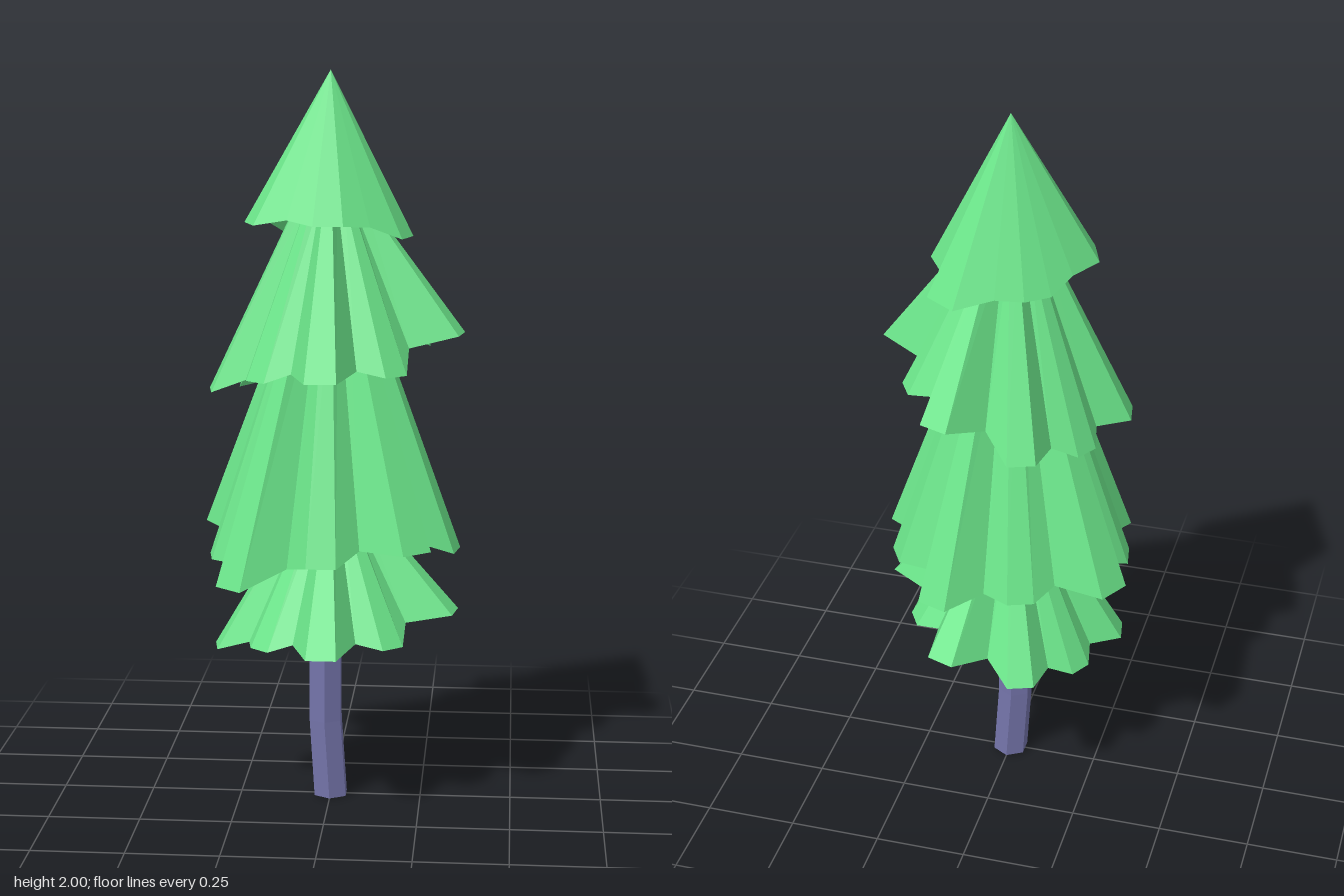
import * as THREE from 'three';

const green = new THREE.MeshStandardMaterial({ color: 0x6be58a, flatShading: true, side: THREE.DoubleSide });
const bark = new THREE.MeshStandardMaterial({ color: 0x7474aa, flatShading: true });

// Pleated open skirt: each lobe has two rim points, with one valley point between lobes.
// Lobe centres run from +x towards +z; radii and heights are given per lobe.
function skirt({ name, start, radii, heights, valley, topY, topScale }) {
  const n = radii.length, step = (Math.PI * 2) / n, half = step / 6;
  const rim = [];
  for (let k = 0; k < n; k++) {
    const a = THREE.MathUtils.degToRad(start) + k * step;
    const valleyY = (heights[k] + heights[(k + 1) % n]) / 2 + 0.015;
    rim.push([a - half, radii[k], heights[k]], [a + half, radii[k], heights[k]], [a + step / 2, valley, valleyY]);
  }
  const low = rim.map(([a, r, y]) => [r * Math.cos(a), y, r * Math.sin(a)]);
  const high = rim.map(([a, r]) => [r * topScale * Math.cos(a), topY, r * topScale * Math.sin(a)]);
  const pos = [];
  low.forEach((b0, i) => {
    const j = (i + 1) % low.length;
    pos.push(...b0, ...high[i], ...low[j]);
    if (topScale > 0.01) pos.push(...low[j], ...high[i], ...high[j]);
  });
  const geo = new THREE.BufferGeometry();
  geo.setAttribute('position', new THREE.Float32BufferAttribute(pos, 3));
  geo.computeVertexNormals();
  const mesh = new THREE.Mesh(geo, green);
  mesh.name = name;
  return mesh;
}

export function createModel() {
  const tree = new THREE.Group();
  tree.name = 'pineTree';

  // Six-sided trunk, slightly bent near the foot
  const height = 1.75;
  const trunkGeo = new THREE.CylinderGeometry(0.045, 0.05, height, 6, 8);
  trunkGeo.translate(0, height / 2, 0);
  const p = trunkGeo.attributes.position;
  for (let i = 0; i < p.count; i++) {
    const y = p.getY(i);
    const bend = -0.014 * Math.min(1, y / 0.2) * (y > 1 ? (height - y) / (height - 1) : 1);
    p.setX(i, p.getX(i) + bend);
  }
  trunkGeo.computeVertexNormals();
  const trunk = new THREE.Mesh(trunkGeo, bark);
  trunk.name = 'trunk';
  tree.add(trunk);

  // Foliage tiers, from the top down
  const upperRadii = [0.362, 0.295, 0.358, 0.285, 0.327, 0.285, 0.322, 0.35, 0.29];
  const upperHeights = [1.31, 1.22, 1.22, 1.2, 1.15, 1.13, 1.16, 1.25, 1.25];
  const tiers = [
    {
      name: 'topFoliage', start: 16, valley: 0.185, topY: 2, topScale: 0,
      radii: [0.222, 0.192, 0.23, 0.18, 0.245],
      heights: [1.565, 1.605, 1.6, 1.56, 1.545],
    },
    {
      name: 'upperFoliage', start: 10, valley: 0.25, topY: 1.67, topScale: 0.25,
      radii: upperRadii, heights: upperHeights,
    },
    {
      name: 'middleFoliage', start: 10, valley: 0.28, topY: 1.45, topScale: 0.25,
      radii: [0.355, 0.39, 0.34, 0.39, 0.33, 0.395, 0.31, 0.372, 0.328],
      heights: [0.72, 0.765, 0.73, 0.66, 0.69, 0.74, 0.72, 0.71, 0.73],
    },
    {
      name: 'lowerFoliage', start: 10, valley: 0.245, topY: 0.85, topScale: 0.23,
      radii: upperRadii.map((r) => r * 0.97),
      heights: upperHeights.map((y) => 0.485 + (y - 1.22) * 0.7),
    },
  ];
  for (const tier of tiers) tree.add(skirt(tier));
  return tree;
}
